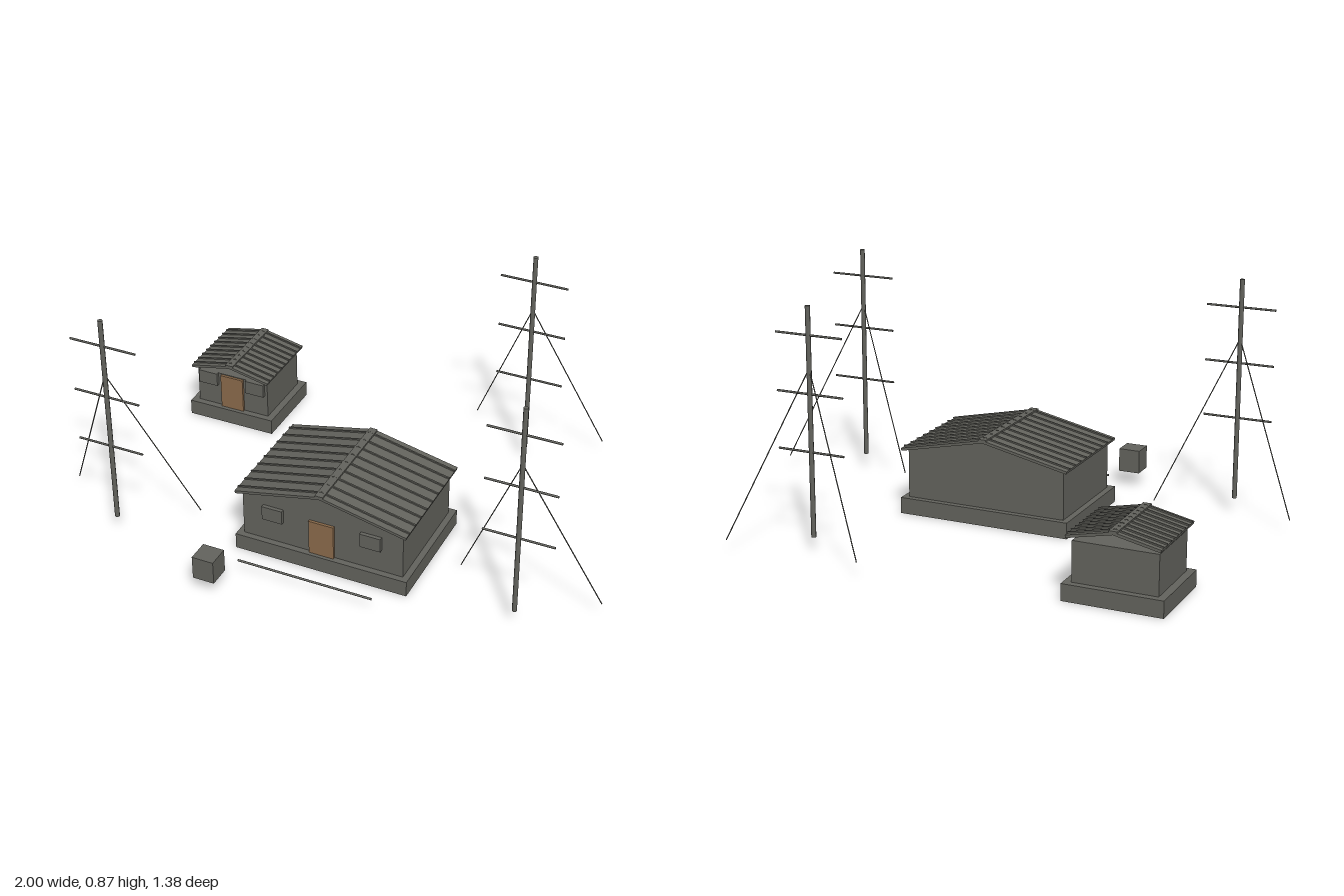
import * as THREE from 'three';

const grey = new THREE.MeshStandardMaterial({ name: 'weathered grey', color: 0x64645e });
const wood = new THREE.MeshStandardMaterial({ name: 'brown wood', color: 0x8c6c4c });

function add(parent, name, geometry, material, x = 0, y = 0, z = 0) {
  const mesh = new THREE.Mesh(geometry, material);
  mesh.name = name;
  mesh.position.set(x, y, z);
  parent.add(mesh);
  return mesh;
}

// Box given by its base centre
function block(parent, name, w, h, d, x, y, z, material = grey) {
  return add(parent, name, new THREE.BoxGeometry(w, h, d), material, x, y + h / 2, z);
}

// Round bar between two points
function bar(parent, name, a, b, radius, sides = 8) {
  const from = new THREE.Vector3(...a), to = new THREE.Vector3(...b);
  const dir = to.clone().sub(from);
  const mesh = add(parent, name, new THREE.CylinderGeometry(radius, radius, dir.length(), sides), grey);
  mesh.position.copy(from).add(to).multiplyScalar(0.5);
  mesh.quaternion.setFromUnitVectors(new THREE.Vector3(0, 1, 0), dir.normalize());
  return mesh;
}

// Two sloping sheets with raised ribs and a ridge cap
function makeRoof(halfWidth, depth, eaveY, ridgeY, ribs, spacing) {
  const roof = new THREE.Group();
  roof.name = 'roof';
  const rise = ridgeY - eaveY;
  const length = Math.hypot(halfWidth, rise);
  for (const side of [-1, 1]) {
    const slope = new THREE.Group();
    slope.name = side < 0 ? 'rightSlope' : 'leftSlope';
    slope.position.set(side * halfWidth / 2, (eaveY + ridgeY) / 2, 0);
    slope.rotation.z = -side * Math.atan2(rise, halfWidth);
    add(slope, 'roofSheet', new THREE.BoxGeometry(length, 0.01, depth), grey);
    for (let i = 0; i < ribs; i++) {
      const z = (i - (ribs - 1) / 2) * spacing;
      add(slope, 'roofRib', new THREE.BoxGeometry(length, 0.006, 0.006), grey, 0, 0.007, z);
    }
    roof.add(slope);
  }
  add(roof, 'ridgeCap', new THREE.BoxGeometry(0.03, 0.008, depth), grey, 0, ridgeY + 0.004, 0);
  return roof;
}

// Slab, walls, door, windows and roof; local origin at the slab centre
function makeBuilding(name, o) {
  const g = new THREE.Group();
  g.name = name;
  g.position.set(o.x, 0, o.z);
  block(g, 'foundation', o.slab[0], 0.06, o.slab[1], 0, 0, 0);
  const front = o.walls[2] / 2;
  if (o.gableY) {
    // Walls and gables in one pentagon section
    const w = o.walls[0] / 2, top = o.walls[1];
    const shape = new THREE.Shape([[-w, 0.06], [w, 0.06], [w, top], [0, o.gableY], [-w, top]]
      .map(p => new THREE.Vector2(...p)));
    const geo = new THREE.ExtrudeGeometry(shape, { depth: o.walls[2], bevelEnabled: false });
    add(g, 'walls', geo.translate(0, 0, -front), grey);
  } else {
    block(g, 'walls', o.walls[0], o.walls[1] - 0.06, o.walls[2], 0, 0.06, 0);
  }
  block(g, 'door', 0.095, o.doorTop - 0.06, 0.014, 0, 0.06, front + 0.003, wood);
  for (const side of [-1, 1]) {
    block(g, 'window', 0.078, 0.054, 0.014, side * o.windowX, 0.151, front + 0.007);
  }
  g.add(makeRoof(...o.roof));
  return g;
}

// Mast with three crossbars and two guy wires
function makePole(x, z) {
  const g = new THREE.Group();
  g.name = 'utilityPole';
  g.position.set(x, 0, z);
  bar(g, 'mast', [0, 0.055, 0], [0, 0.872, 0], 0.009);
  for (const y of [0.36, 0.565, 0.77]) bar(g, 'crossbar', [-0.128, y, 0], [0.128, y, 0], 0.004, 6);
  for (const side of [-1, 1]) bar(g, 'guyWire', [0, 0.655, 0], [side * 0.256, 0.055, -0.155], 0.002, 6);
  return g;
}

export function createModel() {
  const model = new THREE.Group();
  model.name = 'compound';

  model.add(makeBuilding('mainHouse', {
    x: 0.024, z: 0.182, slab: [0.66, 0.456], walls: [0.614, 0.242, 0.41], gableY: 0.31,
    doorTop: 0.195, windowX: 0.188, roof: [0.326, 0.456, 0.244, 0.315, 9, 0.05],
  }));
  model.add(makeBuilding('shed', {
    x: -0.693, z: -0.432, slab: [0.354, 0.306], walls: [0.3, 0.203, 0.256],
    doorTop: 0.2, windowX: 0.1, roof: [0.163, 0.306, 0.222, 0.257, 9, 0.033],
  }));

  for (const [x, z] of [[-0.745, 0.488], [0.74, 0.387], [0.432, -0.535]]) model.add(makePole(x, z));

  // Yard items
  block(model, 'crate', 0.081, 0.088, 0.081, -0.285, 0.056, 0.645);
  bar(model, 'groundRail', [-0.23, 0.056, 0.536], [0.28, 0.056, 0.536], 0.004);

  return model;
}
